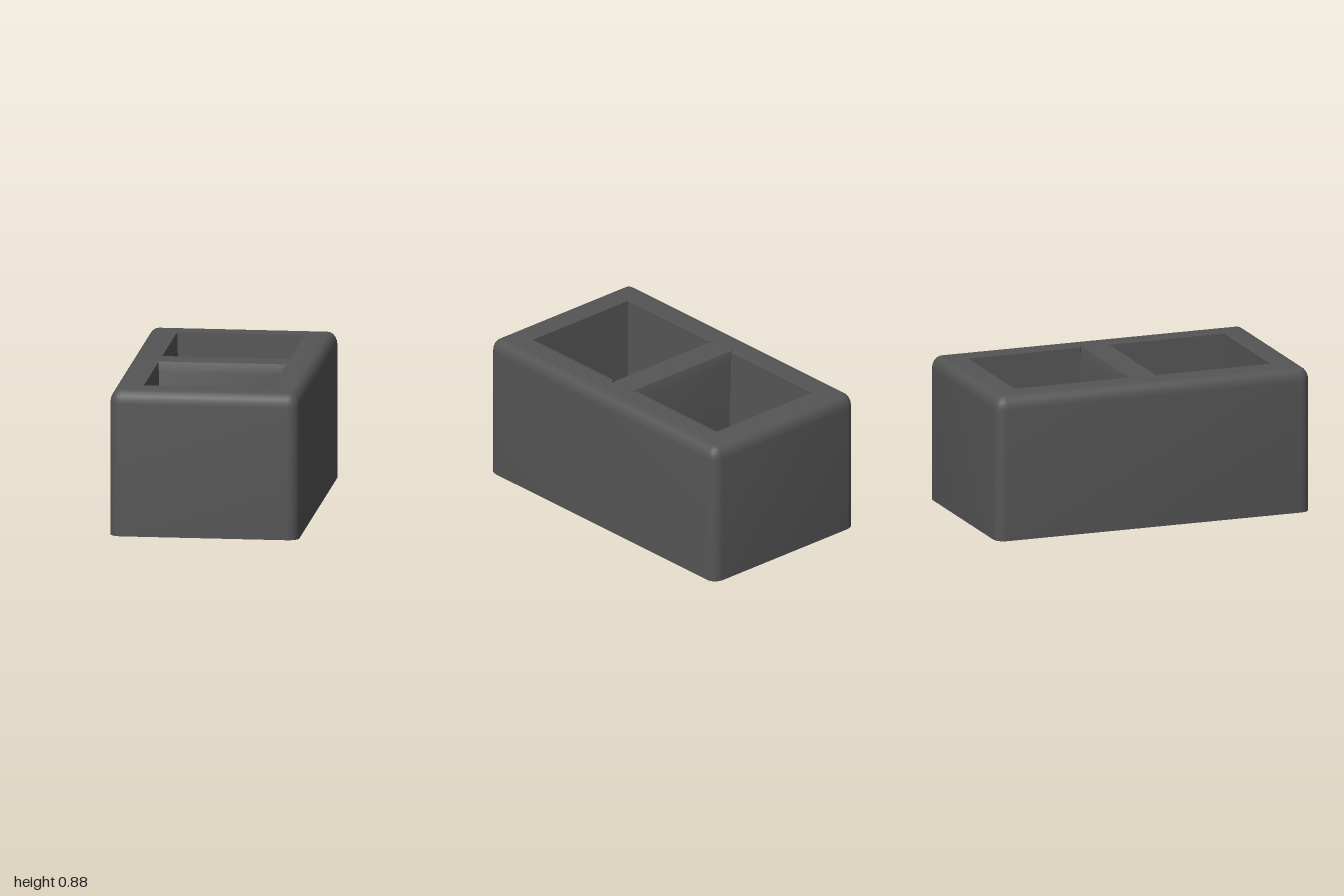
import * as THREE from 'three';
import { mergeGeometries, toCreasedNormals } from 'three/addons/utils/BufferGeometryUtils.js';

const HALF_X = 0.565, HALF_Z = 1, HEIGHT = 0.88;
const CORNER = 0.065, INSET = 0.06, ROUND_Y = 0.08;

// Rounded rectangle at height y, counterclockwise from above
function outerLoop(y, inset) {
  const r = CORNER - inset, steps = 5, pts = [];
  const cx = HALF_X - CORNER, cz = HALF_Z - CORNER;
  [[1, -1], [-1, -1], [-1, 1], [1, 1]].forEach(([sx, sz], q) => {
    for (let i = 0; i <= steps; i++) {
      const a = (q + i / steps) * Math.PI / 2;
      pts.push(new THREE.Vector3(sx * cx + r * Math.cos(a), y, sz * cz - r * Math.sin(a)));
    }
  });
  return pts;
}

// Cell outline at height y; the edge beside the web may flare outward
function cellLoop(side, y, w, far, near, flareW = w, flareNear = near) {
  const pts = [[w, far], [-w, far], [-w, near], [-flareW, flareNear], [flareW, flareNear], [w, near]]
    .map(([x, z]) => new THREE.Vector3(x, y, side * z - (side < 0 ? 0.008 : 0)));
  return side > 0 ? pts : pts.reverse();
}

// Wall surface through a stack of loops, bottom to top
function loft(loops) {
  const pos = [];
  const tri = (a, b, c) => {
    if (a.equals(b) || b.equals(c) || c.equals(a)) return;
    for (const p of [a, b, c]) pos.push(p.x, p.y, p.z);
  };
  for (let k = 0; k + 1 < loops.length; k++) {
    const A = loops[k], B = loops[k + 1];
    A.forEach((p, i) => {
      const j = (i + 1) % A.length;
      tri(p, A[j], B[j]);
      tri(p, B[j], B[i]);
    });
  }
  const g = new THREE.BufferGeometry();
  g.setAttribute('position', new THREE.Float32BufferAttribute(pos, 3));
  return g;
}

// Flat face with holes, facing up (dir 1) or down (dir -1)
function cap(outer, holes, y, dir) {
  const flat = loop => loop.map(p => new THREE.Vector2(p.x, -dir * p.z));
  const shape = new THREE.Shape(flat(outer));
  holes.forEach(h => shape.holes.push(new THREE.Path(flat(h))));
  const g = new THREE.ShapeGeometry(shape).toNonIndexed();
  g.rotateX(-dir * Math.PI / 2).translate(0, y, 0);
  g.deleteAttribute('uv');
  g.deleteAttribute('normal');
  return g;
}

export function createModel() {
  const group = new THREE.Group();
  group.name = 'hollowBlock';
  const material = new THREE.MeshStandardMaterial({ color: 0x555555 });
  const add = (name, geometry) => {
    const mesh = new THREE.Mesh(toCreasedNormals(geometry, 0.6), material);
    mesh.name = name;
    group.add(mesh);
  };

  // Outer walls with a rounded upper rim
  const outer = [outerLoop(0, 0)];
  for (let i = 0; i <= 5; i++) {
    const a = i / 5 * Math.PI / 2;
    outer.push(outerLoop(HEIGHT - ROUND_Y * (1 - Math.sin(a)), INSET * (1 - Math.cos(a))));
  }

  // Two tapered cells, with the web between them bevelled at the top
  const cells = [1, -1].map(side => [
    cellLoop(side, 0, 0.352, 0.78, 0.095),
    cellLoop(side, 0.82, 0.378, 0.808, 0.098),
    cellLoop(side, HEIGHT, 0.38, 0.81, 0.098, 0.41, 0.08),
  ]);

  add('blockShell', mergeGeometries([
    loft(outer),
    cap(outer[outer.length - 1], cells.map(c => c[2]), HEIGHT, 1),
    cap(outer[0], cells.map(c => c[0]), 0, -1),
  ]));
  cells.forEach((c, i) => add(i ? 'backCellWalls' : 'frontCellWalls', loft(c)));
  return group;
}
